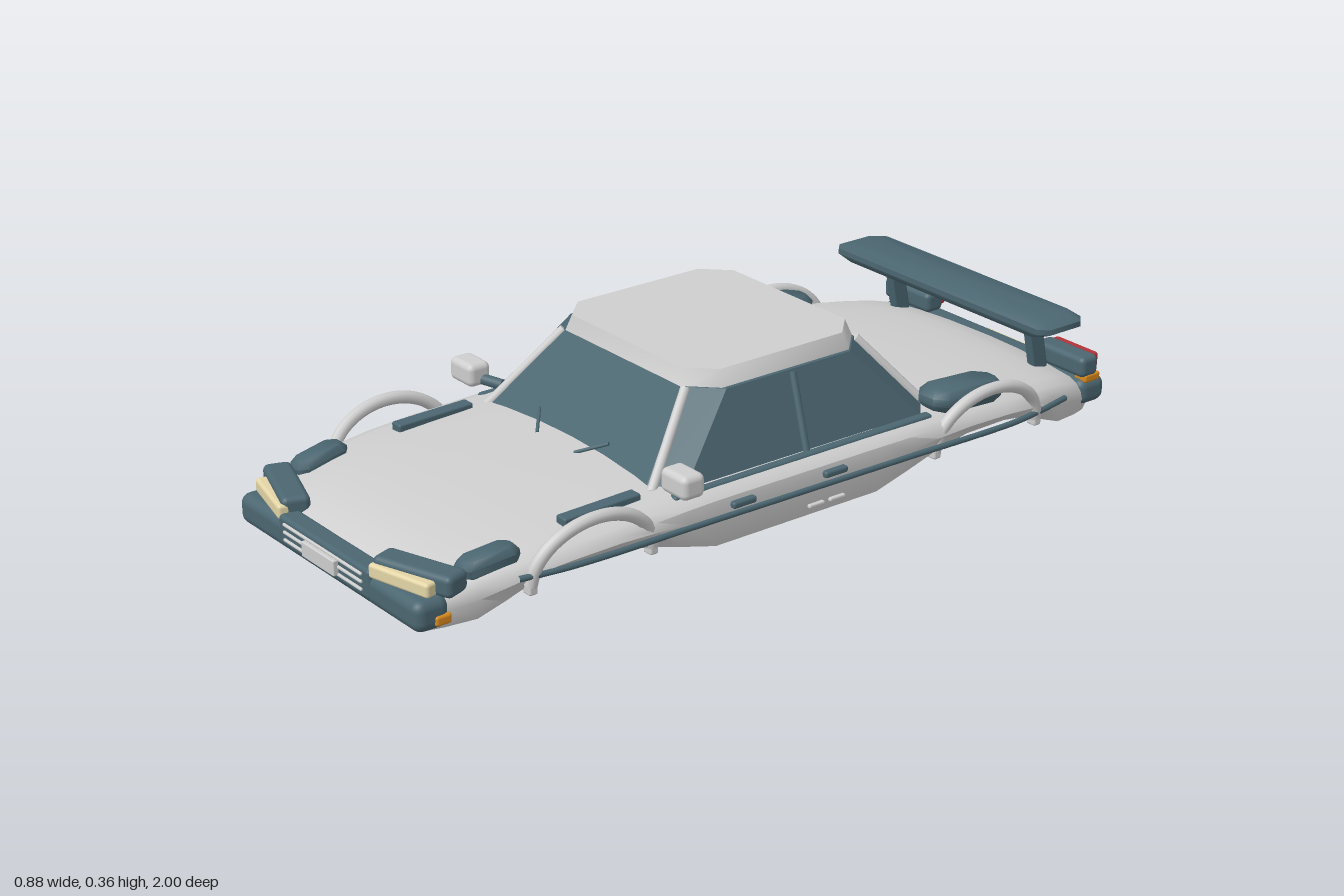
import * as THREE from 'three';
import { toCreasedNormals } from 'three/addons/utils/BufferGeometryUtils.js';
import { RoundedBoxGeometry } from 'three/addons/geometries/RoundedBoxGeometry.js';

const V = (x, y, z) => new THREE.Vector3(x, y, z);

// body stations: z, half width, underside y, centre top y
const STATIONS = [
  [-0.94, 0.34, 0.005, 0.1], [-0.9, 0.355, 0.005, 0.122], [-0.83, 0.37, 0.008, 0.14], [-0.77, 0.382, 0.035, 0.149],
  [-0.7, 0.398, 0.07, 0.156], [-0.62, 0.406, 0.085, 0.163], [-0.5, 0.408, 0.083, 0.168], [-0.4, 0.406, 0.058, 0.171],
  [-0.32, 0.405, 0.03, 0.172], [-0.23, 0.405, 0.002, 0.173], [0.23, 0.405, 0.002, 0.174], [0.32, 0.405, 0.03, 0.172],
  [0.4, 0.406, 0.058, 0.169], [0.5, 0.408, 0.083, 0.165], [0.62, 0.405, 0.085, 0.159], [0.7, 0.397, 0.07, 0.153],
  [0.77, 0.384, 0.035, 0.145], [0.83, 0.37, 0.006, 0.136], [0.9, 0.35, 0.002, 0.12], [0.94, 0.335, 0.002, 0.1],
];

function widthAt(z) {
  const i = Math.max(1, STATIONS.findIndex((s) => s[0] >= z));
  const [a, b] = [STATIONS[i - 1], STATIONS[i]];
  return THREE.MathUtils.lerp(a[1], b[1], (z - a[0]) / (b[0] - a[0]));
}

// skin over closed rings, capped at both ends
function loft(rings, crease) {
  const out = [];
  const tri = (...p) => p.forEach((v) => out.push(v.x, v.y, v.z));
  const n = rings[0].length;
  for (let i = 0; i < rings.length - 1; i++) {
    for (let j = 0; j < n; j++) {
      const k = (j + 1) % n, a = rings[i], b = rings[i + 1];
      tri(a[j], a[k], b[k]);
      tri(a[j], b[k], b[j]);
    }
  }
  [rings[0], rings[rings.length - 1]].forEach((r, end) => {
    const c = r.reduce((s, p) => s.add(p), V(0, 0, 0)).divideScalar(n);
    for (let j = 0; j < n; j++) {
      const k = (j + 1) % n;
      if (end) tri(c, r[j], r[k]); else tri(c, r[k], r[j]);
    }
  });
  const g = new THREE.BufferGeometry();
  g.setAttribute('position', new THREE.Float32BufferAttribute(out, 3));
  return toCreasedNormals(g, crease);
}

function bodyRing([z, w, b, t]) {
  const s = t - 0.042, h = s - b;
  const right = [[0.78, b], [0.955, b + 0.12 * h], [1, b + 0.7 * h], [0.987, s], [0.95, s + 0.014],
    [0.87, s + 0.024], [0.6, t - 0.008], [0.3, t - 0.002]];
  const left = right.map(([x, y]) => [-x, y]).reverse();
  return [...right, [0, t], ...left].map(([x, y]) => V(x * w, y, z));
}

// chamfered rectangle at height y
function octagon(y, x, zf, zb, c) {
  return [[x, zf - c], [x, zb + c], [x - c, zb], [c - x, zb], [-x, zb + c], [-x, zf - c], [c - x, zf], [x - c, zf]]
    .map(([px, pz]) => V(px, y, pz));
}

// flat pod with chamfered plan and edges drawn in by (ix, iz) above and below
function pod(w, h, d, c, ix, iz) {
  const ring = (y, dx, dz) => octagon(y * h, w / 2 - dx, d / 2 - dz, dz - d / 2, c);
  return loft([ring(-0.5, ix, iz), ring(-0.12, 0, 0), ring(0.2, 0, 0), ring(0.5, ix, iz)], 0.9);
}

export function createModel() {
  const car = new THREE.Group();
  car.name = 'carBody';
  const material = (name, color) => {
    const m = new THREE.MeshStandardMaterial({ color });
    m.name = name;
    return m;
  };
  const paint = material('paleGreyPaint', 0xcecece);
  const dark = material('slateTrim', 0x4b6671);
  const cream = material('creamLamp', 0xe3d5a6);
  const red = material('redLamp', 0xb03438);
  const amber = material('amberLamp', 0xd98a1e);

  const add = (name, geo, mat, pos = [0, 0, 0], rot = [0, 0, 0]) => {
    const m = new THREE.Mesh(geo, mat);
    m.name = name;
    m.position.set(...pos);
    m.rotation.set(...rot);
    car.add(m);
    return m;
  };
  const pair = (name, geo, mat, [x, y, z], [rx, ry, rz] = [0, 0, 0]) => {
    add(name + 'Left', geo, mat, [x, y, z], [rx, ry, rz]);
    add(name + 'Right', geo, mat, [-x, y, z], [rx, -ry, -rz]);
  };
  const box = (w, h, d, r = 0.01) => new RoundedBoxGeometry(w, h, d, 3, r);
  const tubePair = (name, points, r, mat) => {
    for (const s of [1, -1]) {
      const path = new THREE.CatmullRomCurve3(points.map(([x, y, z]) => V(s * x, y, z)));
      add(name + (s > 0 ? 'Left' : 'Right'), new THREE.TubeGeometry(path, points.length * 4, r, 10), mat);
    }
  };
  const rodPair = (name, a, b, r, mat) => {
    for (const s of [1, -1]) {
      const p = V(s * a[0], a[1], a[2]), q = V(s * b[0], b[1], b[2]);
      const m = add(name + (s > 0 ? 'Left' : 'Right'), new THREE.CylinderGeometry(r, r, p.distanceTo(q), 12), mat);
      m.position.copy(p).lerp(q, 0.5);
      m.quaternion.setFromUnitVectors(V(0, 1, 0), q.sub(p).normalize());
    }
  };

  // shell, cabin glass and roof
  add('bodyShell', loft(STATIONS.map(bodyRing), 0.6), paint);
  add('cabinGlass', loft([octagon(0.13, 0.362, 0.37, -0.47, 0.06), octagon(0.325, 0.286, 0.19, -0.3, 0.068)], 0.2), dark);
  add('roof', loft([octagon(0.32, 0.279, 0.192, -0.302, 0.065), octagon(0.362, 0.26, 0.18, -0.29, 0.06)], 0.9), paint);
  rodPair('frontPillar', [0.224, 0.323, 0.187], [0.308, 0.15, 0.345], 0.011, paint);
  rodPair('rearPillar', [0.224, 0.323, -0.298], [0.308, 0.15, -0.443], 0.012, paint);
  rodPair('doorPillar', [0.289, 0.32, -0.062], [0.354, 0.155, -0.05], 0.009, dark);
  rodPair('wiper', [0.13, 0.196, 0.325], [0.07, 0.168, 0.375], 0.004, dark);
  pair('beltTrim', box(0.025, 0.016, 0.74, 0.007), dark, [0.36, 0.147, -0.04]);

  // wheel arch tubes
  for (const [name, z0] of [['frontArch', 0.56], ['rearArch', -0.565]]) {
    const arc = [];
    for (let i = 0; i <= 10; i++) {
      const a = (i / 10) * Math.PI;
      arc.push([0.384 + 0.017 * Math.sin(a), 0.07 + 0.116 * Math.sin(a), z0 + 0.157 * Math.cos(a)]);
    }
    tubePair(name, arc, 0.015, paint);
    for (const d of [-0.157, 0.157]) pair(name + 'Foot', box(0.028, 0.024, 0.022, 0.005), paint, [0.382, 0.063, z0 + d]);
  }

  // side moulding, handles and sill vents
  const strip = [];
  for (let i = 0; i <= 16; i++) {
    const z = 0.75 - i * 0.099;
    strip.push([widthAt(z) + 0.001, 0.09 + 0.008 * z, z]);
  }
  tubePair('sideMoulding', strip, 0.007, dark);
  for (const z of [0.17, -0.09]) pair('doorHandle', box(0.02, 0.016, 0.065, 0.006), dark, [0.405, 0.113, z]);
  for (const z of [-0.045, -0.105]) pair('sillVent', box(0.012, 0.01, 0.045, 0.004), paint, [0.396, 0.042, z]);

  // mirrors
  pair('mirror', box(0.088, 0.056, 0.06, 0.015), paint, [0.398, 0.202, 0.33]);
  rodPair('mirrorArm', [0.31, 0.185, 0.3], [0.37, 0.19, 0.325], 0.013, dark);

  // bonnet vents, fender pods and rear scoops
  pair('bonnetVent', box(0.034, 0.022, 0.2, 0.005), dark, [0.315, 0.155, 0.49], [0.02, 0, 0]);
  pair('fenderPod', pod(0.066, 0.05, 0.14, 0.018, 0.01, 0.012), dark, [0.327, 0.124, 0.785], [0.14, -0.12, 0]);
  pair('rearScoop', pod(0.1, 0.055, 0.215, 0.026, 0.012, 0.014), dark, [0.338, 0.167, -0.525], [-0.06, 0, 0]);

  // front bumper, grille and lamps
  add('frontBumper', box(0.71, 0.072, 0.085, 0.024), dark, [0, 0.055, 0.936]);
  add('grillePanel', box(0.36, 0.07, 0.05, 0.01), dark, [0, 0.068, 0.956]);
  for (const y of [0.052, 0.07, 0.088]) add('grilleBar', box(0.31, 0.007, 0.012, 0.003), paint, [0, y, 0.98]);
  add('frontPlate', box(0.128, 0.036, 0.014, 0.003), paint, [0, 0.068, 0.988]);
  pair('headlampHousing', box(0.205, 0.05, 0.065, 0.014), dark, [0.262, 0.11, 0.908], [0, 0.33, 0]);
  pair('headlamp', box(0.168, 0.034, 0.036, 0.008), cream, [0.254, 0.104, 0.944], [0, 0.24, 0]);
  pair('frontMarker', box(0.03, 0.024, 0.04, 0.007), amber, [0.345, 0.042, 0.915]);

  // rear bumper and lamps
  add('rearBumper', box(0.71, 0.066, 0.085, 0.024), dark, [0, 0.067, -0.945]);
  add('rearPlate', box(0.14, 0.036, 0.016, 0.003), cream, [0, 0.068, -0.992]);
  pair('rearLampHousing', box(0.165, 0.052, 0.055, 0.014), dark, [0.272, 0.132, -0.932]);
  pair('rearLamp', box(0.138, 0.038, 0.032, 0.007), red, [0.268, 0.136, -0.959]);
  pair('rearMarker', box(0.04, 0.022, 0.05, 0.007), amber, [0.333, 0.102, -0.943]);

  // rear wing
  add('rearWing', pod(0.748, 0.042, 0.142, 0.022, 0.034, 0.012), dark, [0, 0.262, -0.82]);
  pair('wingStrut', box(0.025, 0.15, 0.045, 0.006), dark, [0.245, 0.185, -0.85], [0.2, 0, 0]);

  return car;
}
